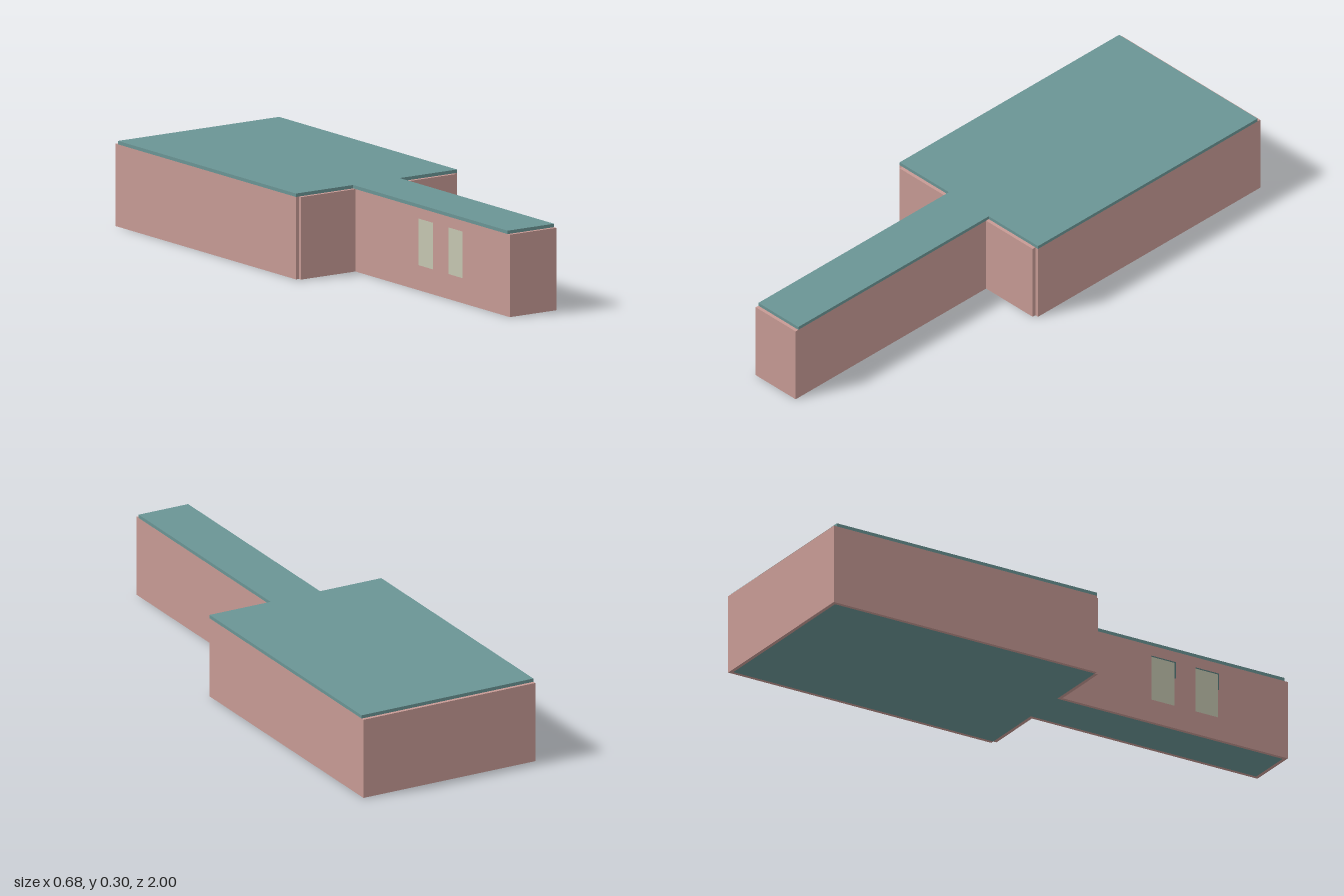
import * as THREE from 'three';

const wallMat = new THREE.MeshStandardMaterial({ name: 'pink wall', color: 0xc69a94 });
const roofMat = new THREE.MeshStandardMaterial({ name: 'teal slab', color: 0x6a9494 });
const glassMat = new THREE.MeshStandardMaterial({ name: 'pale glass', color: 0xc4c6b0 });

const T = 0.013;      // wall thickness
const H = 0.29;       // wall height
const HALL = 0.34;    // half width of the hall
const PASS = 0.098;   // half width of the passage
const JOIN = 0.07;    // where the passage meets the hall

// Box given by its limits on each axis
function block(name, mat, [x0, x1], [y0, y1], [z0, z1]) {
  const mesh = new THREE.Mesh(new THREE.BoxGeometry(x1 - x0, y1 - y0, z1 - z0), mat);
  mesh.position.set((x0 + x1) / 2, (y0 + y1) / 2, (z0 + z1) / 2);
  mesh.name = name;
  return mesh;
}

// T-shaped slab lying between y0 and y1
function slab(name, hall, pass, y0, y1, join) {
  const back = -1 + T, front = 1 - T;
  const outline = [[-hall, back], [hall, back], [hall, join], [pass, join],
    [pass, front], [-pass, front], [-pass, join], [-hall, join]];
  const shape = new THREE.Shape(outline.map(([x, z]) => new THREE.Vector2(x, -z)));
  const geo = new THREE.ExtrudeGeometry(shape, { depth: y1 - y0, bevelEnabled: false });
  geo.rotateX(-Math.PI / 2).translate(0, y0, 0);
  const mesh = new THREE.Mesh(geo, roofMat);
  mesh.name = name;
  return mesh;
}

export function createModel() {
  const model = new THREE.Group();
  model.name = 'building';

  model.add(slab('roof', HALL, PASS, H, 0.302, JOIN));
  model.add(slab('floor', HALL - T, PASS - T, 0, 0.012, JOIN));

  // End walls
  model.add(block('backWall', wallMat, [-HALL, HALL], [0, H], [-1, -1 + T]));
  model.add(block('passageEndWall', wallMat, [-PASS, PASS], [0, H], [1 - T, 1]));

  // Hall side walls and the short front walls beside the passage
  for (const s of [-1, 1]) {
    const span = (a, b) => (s > 0 ? [a, b] : [-b, -a]);
    model.add(block('hallSideWall', wallMat, span(HALL - T, HALL), [0, H], [-1 + T, JOIN]));
    model.add(block('hallFrontWall', wallMat, span(PASS, HALL - T), [0, H], [JOIN, JOIN + T]));
  }

  // Plain passage wall
  model.add(block('passageWall', wallMat, [PASS - T, PASS], [0, H], [JOIN, 1 - T]));

  // Passage wall with two window openings, drawn in z and y
  const rect = (Type, z0, z1, y0, y1) => new Type([[z0, y0], [z1, y0], [z1, y1], [z0, y1]]
    .map(([z, y]) => new THREE.Vector2(-z, y)));
  const wall = rect(THREE.Shape, JOIN, 1 - T, 0, H);
  const sill = 0.085, head = 0.252;
  for (const [z0, z1] of [[0.445, 0.545], [0.625, 0.72]]) {
    wall.holes.push(rect(THREE.Path, z0, z1, sill, head));
    // Recessed pane
    model.add(block('window', glassMat, [-PASS + 0.008, -PASS + T], [sill, head], [z0, z1]));
  }
  const geo = new THREE.ExtrudeGeometry(wall, { depth: T, bevelEnabled: false });
  geo.rotateY(Math.PI / 2).translate(-PASS, 0, 0);
  const windowWall = new THREE.Mesh(geo, wallMat);
  windowWall.name = 'windowWall';
  model.add(windowWall);

  return model;
}
